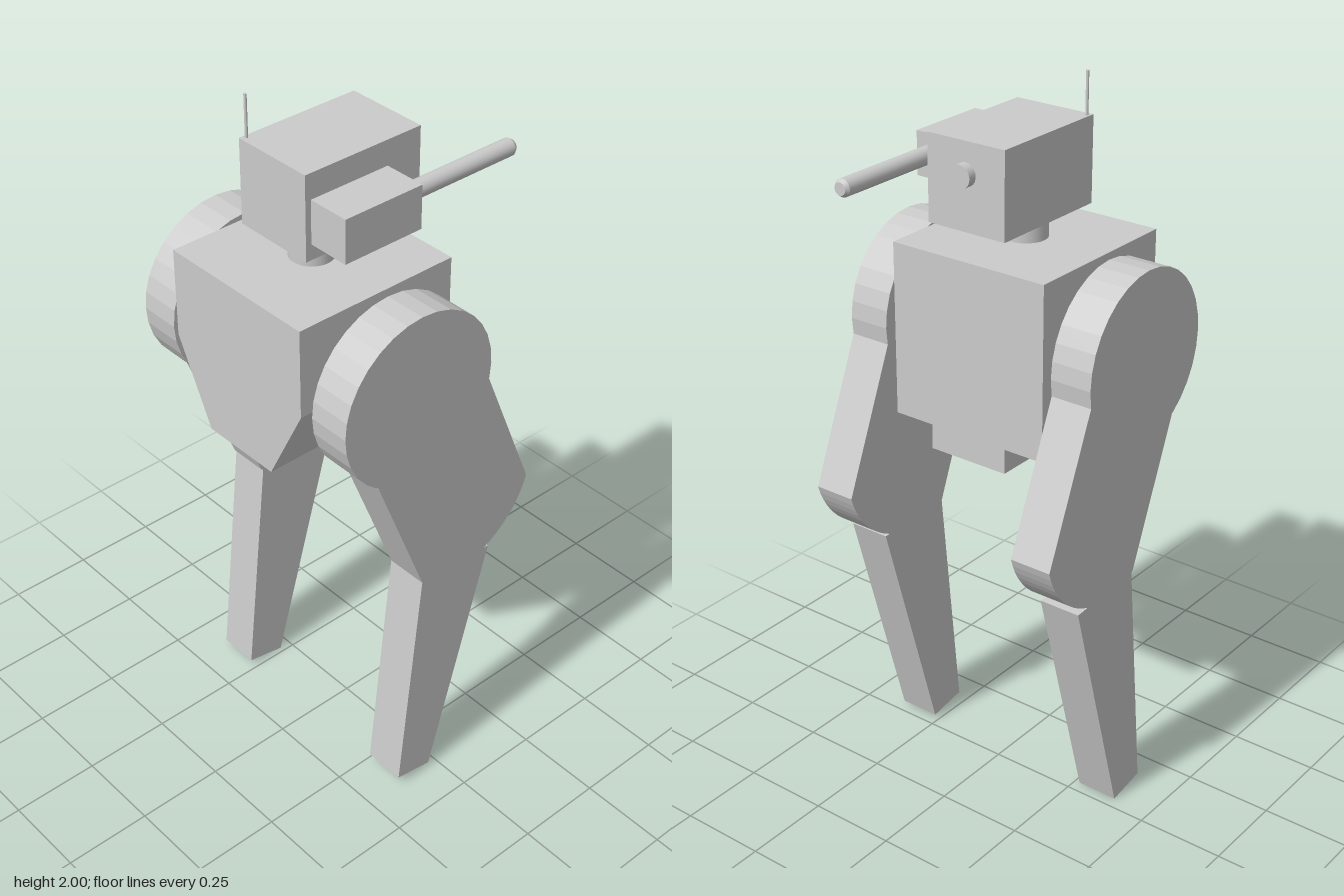
import * as THREE from 'three';

const smooth = new THREE.MeshStandardMaterial({ color: 0xcccccc });
const flat = new THREE.MeshStandardMaterial({ color: 0xcccccc, flatShading: true });

export function createModel() {
  const model = new THREE.Group();
  model.name = 'walkerRobot';

  function add(name, geometry, material = flat, parent = model) {
    const mesh = new THREE.Mesh(geometry, material);
    mesh.name = name;
    parent.add(mesh);
    return mesh;
  }

  // Box given by its extents along each axis
  function box(name, [x0, x1], [y0, y1], [z0, z1]) {
    const g = new THREE.BoxGeometry(x1 - x0, y1 - y0, z1 - z0);
    g.translate((x0 + x1) / 2, (y0 + y1) / 2, (z0 + z1) / 2);
    return add(name, g);
  }

  // Cylinder centred at a point, lying along the chosen axis
  function rod(name, axis, rTop, rBottom, length, [x, y, z], material = smooth, parent = model) {
    const g = new THREE.CylinderGeometry(rTop, rBottom, length, 32);
    if (axis === 'x') g.rotateZ(-Math.PI / 2);
    if (axis === 'z') g.rotateX(Math.PI / 2);
    g.translate(x, y, z);
    return add(name, g, material, parent);
  }

  // Side profile in (z, y), extruded across x from x0 to x1
  function sidePlate(name, shape, x0, x1, parent) {
    const g = new THREE.ExtrudeGeometry(shape, { depth: x1 - x0, bevelEnabled: false, curveSegments: 10 });
    g.rotateY(-Math.PI / 2).translate(x1, 0, 0);
    return add(name, g, flat, parent);
  }

  const polygon = (points) => new THREE.Shape(points.map(([a, b]) => new THREE.Vector2(a, b)));

  // Torso: full-width rear block, front block with its lower corners cut off
  box('torsoRear', [-0.24, 0.24], [1.085, 1.57], [-0.13, 0.1]);
  const front = polygon([[-0.12, 1.085], [0.12, 1.085], [0.24, 1.32], [0.24, 1.57], [-0.24, 1.57], [-0.24, 1.32]]);
  add('torsoFront', new THREE.ExtrudeGeometry(front, { depth: 0.26, bevelEnabled: false }).translate(0, 0, 0.1));
  box('pelvis', [-0.12, 0.12], [1.015, 1.085], [-0.13, 0.1]);

  // Neck, head, rear port and antenna
  rod('neck', 'y', 0.06, 0.06, 0.1, [0, 1.61, 0.115]);
  box('head', [-0.12, 0.12], [1.65, 1.885], [-0.13, 0.235]);
  rod('rearPort', 'z', 0.031, 0.031, 0.045, [0, 1.8, -0.132]);
  rod('antenna', 'y', 0.004, 0.004, 0.12, [-0.11, 1.94, 0.22]);

  // Side gun
  rod('gunMount', 'x', 0.033, 0.033, 0.04, [0.13, 1.778, 0.163]);
  box('gunBody', [0.14, 0.26], [1.71, 1.83], [-0.005, 0.235]);
  rod('gunBarrel', 'z', 0.024, 0.024, 0.37, [0.205, 1.782, -0.165]);
  rod('gunMuzzle', 'z', 0.024, 0.017, 0.01, [0.205, 1.782, -0.355]);

  // Thigh: straight sides running down to a rounded knee
  const thigh = polygon([[0.235, 1.12], [-0.135, 1.28], [-0.3, 0.885]]);
  const deg = Math.PI / 180;
  thigh.absarc(-0.045, 0.956, 0.265, -164.5 * deg, -63 * deg, false);
  thigh.closePath();

  // Shin: tapers down to a slightly tilted foot end
  const shin = polygon([[0.075, 0.727], [0.145, 0.03], [0.03, 0.01], [-0.167, 0.712]]);

  // Legs: the right one stands a touch forward and lower
  for (const side of [1, -1]) {
    const leg = new THREE.Group();
    leg.name = side > 0 ? 'leftLeg' : 'rightLeg';
    model.add(leg);
    const [x0, x1] = side > 0 ? [0.263, 0.383] : [-0.385, -0.265];
    rod('hipDisc', 'x', 0.2425, 0.2425, x1 - x0, [(x0 + x1) / 2, 1.325, 0.102], flat, leg);
    sidePlate('thigh', thigh, x0, x1, leg);
    const lower = sidePlate('shin', shin, x0, x1, leg);
    if (side < 0) {
      leg.position.z = 0.01;
      lower.position.set(0, -0.01, -0.005);
    }
    rod('hipAxle', 'x', 0.043, 0.043, 0.05, [side * 0.25, 1.455, 0.113]);
  }

  return model;
}
